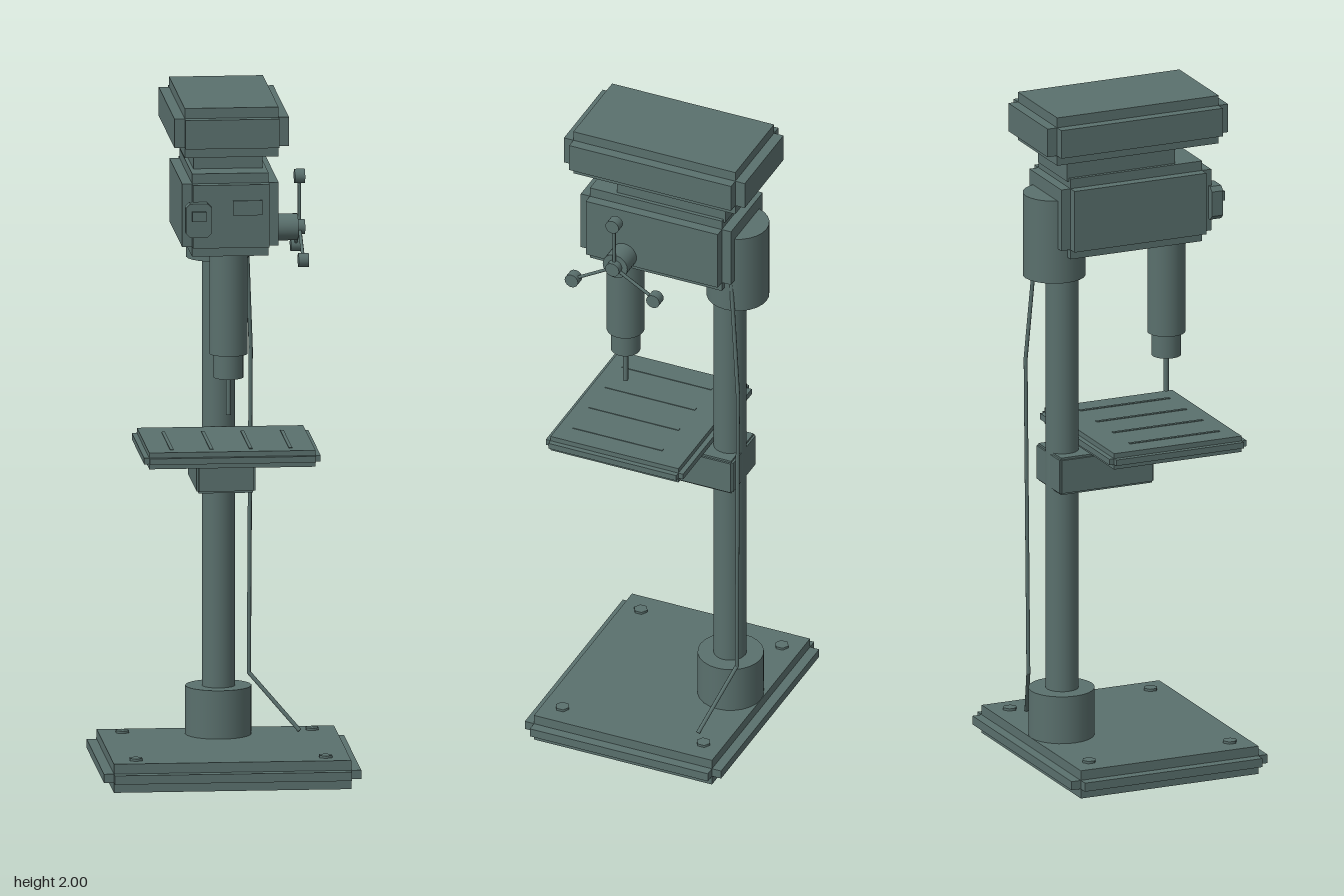
import * as THREE from 'three';

const material = new THREE.MeshStandardMaterial({ color: 0x5a706d });

export function createModel() {
  const model = new THREE.Group();

  const add = (name, geometry, x = 0, y = 0, z = 0, parent = model) => {
    const mesh = new THREE.Mesh(geometry, material);
    mesh.name = name;
    mesh.position.set(x, y, z);
    parent.add(mesh);
    return mesh;
  };

  const box = (name, [x0, x1], [y0, y1], [z0, z1], parent) =>
    add(name, new THREE.BoxGeometry(x1 - x0, y1 - y0, z1 - z0),
      (x0 + x1) / 2, (y0 + y1) / 2, (z0 + z1) / 2, parent);

  // Casting with stepped edges: three crossing boxes, each full size along one axis
  const steppedBox = (name, xs, ys, zs, step) => {
    const group = new THREE.Group();
    group.name = name;
    model.add(group);
    for (let full = 0; full < 3; full++) {
      const spans = [xs, ys, zs].map(([a, b], i) => (i === full ? [a, b] : [a + step, b - step]));
      // the vertical box keeps its insets, so each side shows a ledge
      box(name + 'Layer', ...spans, group);
    }
    return group;
  };

  const post = (name, r, y0, y1, x, z, sides = 24) =>
    add(name, new THREE.CylinderGeometry(r, r, y1 - y0, sides), x, (y0 + y1) / 2, z);

  // Round bar between two points
  const rod = (name, a, b, r, sides = 8) => {
    const from = new THREE.Vector3(...a), to = new THREE.Vector3(...b);
    const dir = to.clone().sub(from);
    const mesh = add(name, new THREE.CylinderGeometry(r, r, dir.length(), sides));
    mesh.position.copy(from).add(to).multiplyScalar(0.5);
    mesh.quaternion.setFromUnitVectors(new THREE.Vector3(0, 1, 0), dir.normalize());
    return mesh;
  };

  // Base with hexagonal bolts
  steppedBox('base', [-0.373, 0.373], [0, 0.084], [-0.312, 0.31], 0.029);
  for (const x of [-0.275, 0.275])
    for (const z of [-0.225, 0.222]) post('baseBolt', 0.021, 0.078, 0.091, x, z, 6);

  // Column, foot socket and head collar
  post('columnSocket', 0.096, 0.08, 0.226, 0, -0.187);
  post('column', 0.048, 0.08, 1.6, 0, -0.185);
  post('headCollar', 0.091, 1.48, 1.73, 0, -0.21);

  // Table with shallow slots, carried by a bracket
  steppedBox('table', [-0.256, 0.256], [0.947, 0.995], [-0.145, 0.29], 0.015);
  for (const x of [-0.172, -0.057, 0.057, 0.172])
    box('tableSlot', [x - 0.005, x + 0.005], [0.99, 0.997], [-0.05, 0.235]);
  steppedBox('tableBracket', [-0.085, 0.085], [0.835, 0.947], [-0.23, 0.07], 0.006);

  // Head, neck and belt cover
  steppedBox('head', [-0.14, 0.14], [1.557, 1.8], [-0.238, 0.238], 0.029);
  box('neck', [-0.1, 0.1], [1.79, 1.865], [-0.215, 0.128]);
  steppedBox('beltCover', [-0.166, 0.166], [1.855, 2], [-0.293, 0.28], 0.03);

  // Quill, chuck and drill bit
  post('quill', 0.055, 1.26, 1.57, 0, 0.146);
  post('chuck', 0.043, 1.19, 1.26, 0, 0.146);
  post('drillBit', 0.008, 1.08, 1.19, 0, 0.146, 10);

  // Switch box with cut corners and a push button
  const w = 0.038, h = 0.05, c = 0.013;
  const outline = new THREE.Shape([
    [-w + c, -h], [w - c, -h], [w, -h + c], [w, h - c],
    [w - c, h], [-w + c, h], [-w, h - c], [-w, -h + c],
  ].map(([x, y]) => new THREE.Vector2(x, y)));
  add('switchBox', new THREE.ExtrudeGeometry(outline, { depth: 0.035, bevelEnabled: false }), -0.096, 1.672, 0.23);
  box('switchButton', [-0.116, -0.076], [1.672, 1.7], [0.26, 0.28]);

  // Label plate with a raised bar
  box('labelPlate', [0.005, 0.09], [1.682, 1.725], [0.23, 0.243]);
  box('labelBar', [0.03, 0.065], [1.7, 1.707], [0.24, 0.246]);

  // Feed handle: hub, three arms and their knobs
  const hubY = 1.618, hubZ = 0.087, armX = 0.211;
  rod('handleHub', [0.13, hubY, hubZ], [0.205, hubY, hubZ], 0.039, 24);
  rod('handleBoss', [0.2, hubY, hubZ], [0.226, hubY, hubZ], 0.022, 16);
  for (let i = 0; i < 3; i++) {
    const a = Math.PI / 2 + (i * 2 * Math.PI) / 3;
    const y = hubY + 0.149 * Math.sin(a), z = hubZ + 0.149 * Math.cos(a);
    rod('handleArm', [armX, hubY, hubZ], [armX, y, z], 0.005);
    rod('handleKnob', [armX - 0.015, y, z], [armX + 0.015, y, z], 0.021, 16);
  }

  // Power cable hanging from the head to the base
  const cable = [[0.08, 1.66, -0.215], [0.085, 1.56, -0.228], [0.1, 1.2, -0.255],
    [0.094, 0.25, -0.249], [0.236, 0.088, -0.19]];
  for (let i = 1; i < cable.length; i++) {
    rod('cable', cable[i - 1], cable[i], 0.006);
    if (i > 1) add('cableBend', new THREE.SphereGeometry(0.006, 8, 6), ...cable[i - 1]);
  }

  return model;
}
